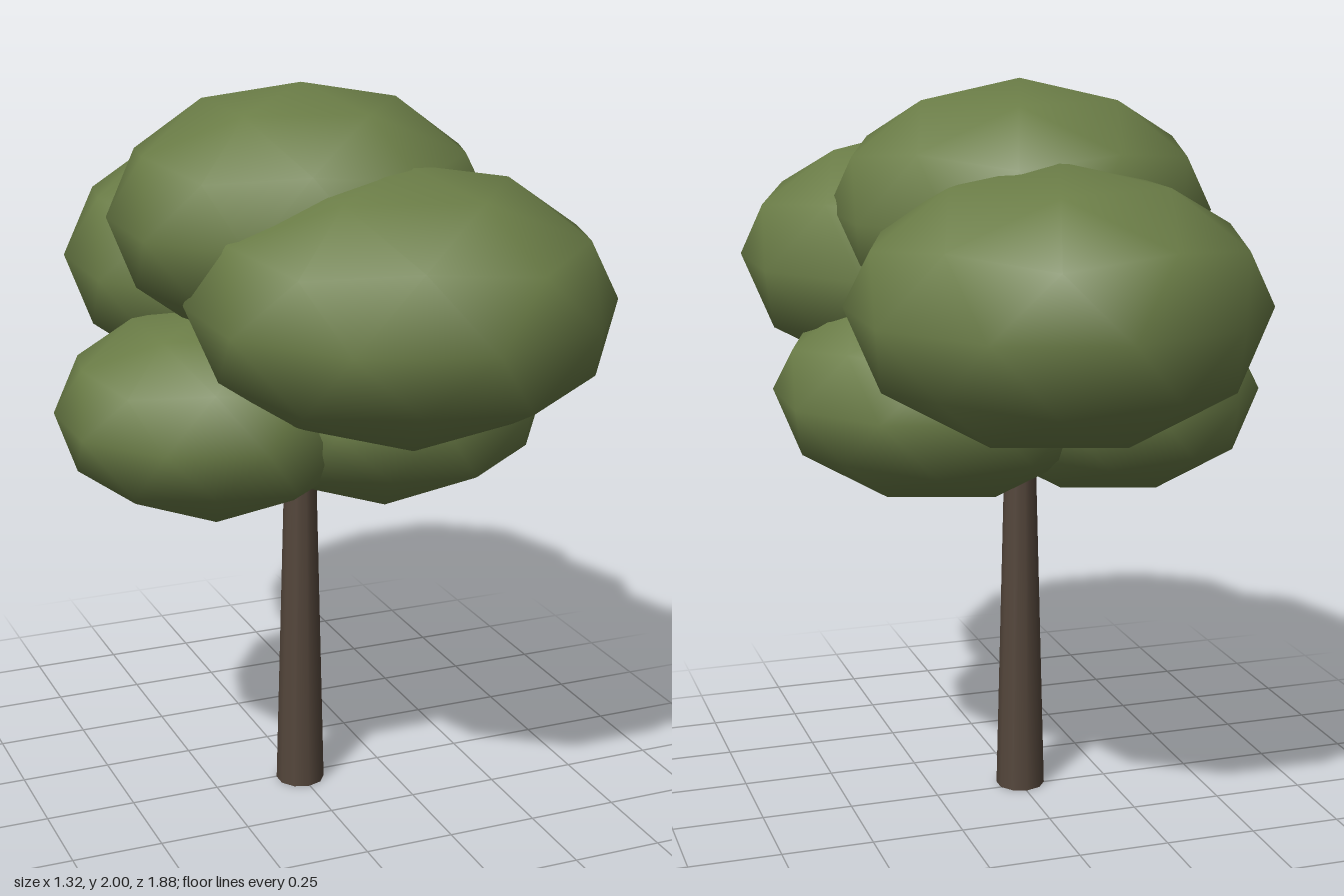
import * as THREE from 'three';

export function createModel() {
  const tree = new THREE.Group();
  tree.name = 'tree';
  const leafMaterial = new THREE.MeshStandardMaterial({ color: 0x6b7d47 });
  const barkMaterial = new THREE.MeshStandardMaterial({ color: 0x54463b });

  // Tapered trunk, its top hidden inside the foliage
  const trunkHeight = 1.3;
  const trunk = new THREE.Mesh(new THREE.CylinderGeometry(0.035, 0.068, trunkHeight, 10), barkMaterial);
  trunk.name = 'trunk';
  trunk.position.set(-0.003, trunkHeight / 2, 0.022);
  tree.add(trunk);

  // Foliage clump: smooth 80-face sphere standing on a vertex, flattened in y
  const tilt = Math.atan(2 / (1 + Math.sqrt(5)));
  function addClump(name, [x, y, z], radius, halfHeight) {
    const geometry = new THREE.IcosahedronGeometry(1, 1);
    geometry.rotateZ(-tilt);
    geometry.scale(radius, halfHeight, radius);
    const clump = new THREE.Mesh(geometry, leafMaterial);
    clump.name = name;
    clump.position.set(x, y, z);
    tree.add(clump);
  }

  addClump('topFoliage', [0, 1.65, 0.018], 0.515, 0.35);
  addClump('frontFoliage', [0.13, 1.485, 0.383], 0.557, 0.355);
  addClump('backFoliage', [0.03, 1.457, -0.395], 0.547, 0.365);
  addClump('leftFoliage', [0.205, 1.162, 0.063], 0.465, 0.298);
  addClump('rightFoliage', [-0.257, 1.14, 0.026], 0.424, 0.28);

  return tree;
}
